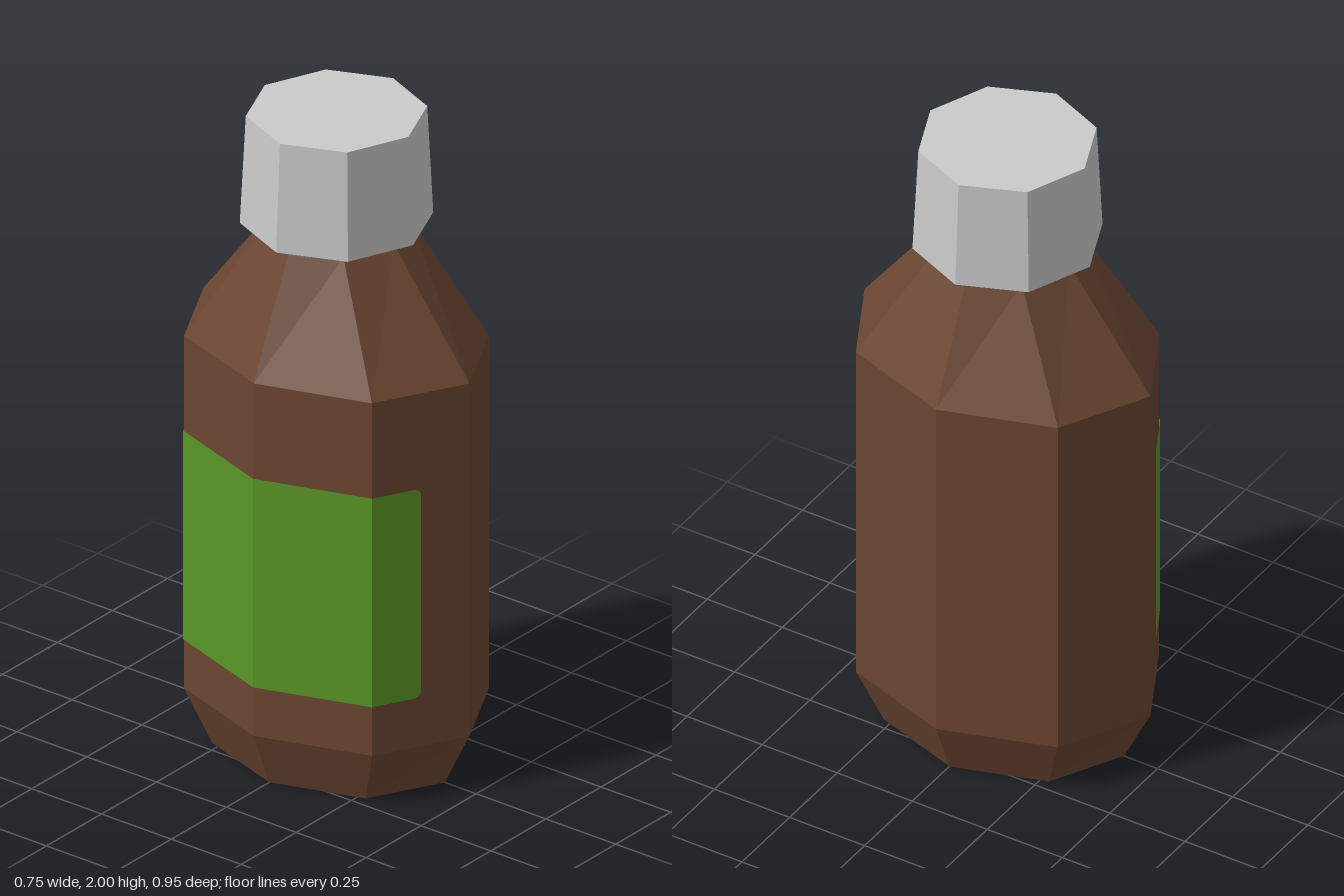
import * as THREE from 'three';

const SIDES = 8;

// Point on an eight-sided ring; u counts sides from the front towards +x
function ringPoint(u, rx, y, rz) {
  const corner = (i) => {
    const a = (i / SIDES) * Math.PI * 2;
    return new THREE.Vector3(Math.sin(a) * rx, y, Math.cos(a) * rz);
  };
  const i = Math.floor(u);
  return corner(i).lerp(corner(i + 1), u - i);
}

// Flat-shaded geometry from a list of triangle corners
function facets(points) {
  const g = new THREE.BufferGeometry().setFromPoints(points);
  g.computeVertexNormals();
  return g;
}

const quad = (out, a, b, c, d) => out.push(a, b, c, a, c, d);

// Closed body through rings [radiusX, y, radiusZ], bottom to top
function loft(rings) {
  const out = [];
  const first = rings[0], last = rings[rings.length - 1];
  for (let i = 0; i < SIDES; i++) {
    for (let k = 0; k < rings.length - 1; k++) {
      const lo = rings[k], hi = rings[k + 1];
      quad(out, ringPoint(i, ...lo), ringPoint(i + 1, ...lo), ringPoint(i + 1, ...hi), ringPoint(i, ...hi));
    }
    out.push(new THREE.Vector3(0, first[1], 0), ringPoint(i + 1, ...first), ringPoint(i, ...first));
    out.push(new THREE.Vector3(0, last[1], 0), ringPoint(i, ...last), ringPoint(i + 1, ...last));
  }
  return facets(out);
}

// Thin wrap following the sides, with clipped corners at both ends
function wrap(rx, rz, y0, y1) {
  const columns = [
    [4.5, 0.018], [4.52, 0.006], [4.56, 0], [5, 0], [6, 0], [7, 0],
    [7.44, 0], [7.48, 0.006], [7.5, 0.018],
  ];
  const out = [];
  for (let i = 0; i < columns.length - 1; i++) {
    const [u, p] = columns[i], [v, q] = columns[i + 1];
    quad(out, ringPoint(u, rx, y0 + p, rz), ringPoint(v, rx, y0 + q, rz),
      ringPoint(v, rx, y1 - q, rz), ringPoint(u, rx, y1 - p, rz));
  }
  return facets(out);
}

export function createModel() {
  const brown = new THREE.MeshStandardMaterial({ color: 0x6b4631 });
  brown.name = 'brown glass';
  const green = new THREE.MeshStandardMaterial({ color: 0x5a9626, side: THREE.DoubleSide });
  green.name = 'green label';
  const grey = new THREE.MeshStandardMaterial({ color: 0xcacaca });
  grey.name = 'light grey cap';

  const model = new THREE.Group();
  model.name = 'bottle';
  const add = (name, geometry, material) => {
    const mesh = new THREE.Mesh(geometry, material);
    mesh.name = name;
    model.add(mesh);
  };

  // Oval body narrowing to a round neck
  add('bottleBody', loft([
    [0.305, 0, 0.388], [0.376, 0.175, 0.476], [0.376, 1.29, 0.476], [0.215, 1.645, 0.205],
  ]), brown);

  // Label around the -x side
  add('label', wrap(0.379, 0.479, 0.33, 0.99), green);

  // Tapered cap with a bevelled lower rim
  add('cap', loft([
    [0.225, 1.637, 0.225], [0.274, 1.663, 0.274], [0.257, 2, 0.257],
  ]), grey);

  return model;
}
